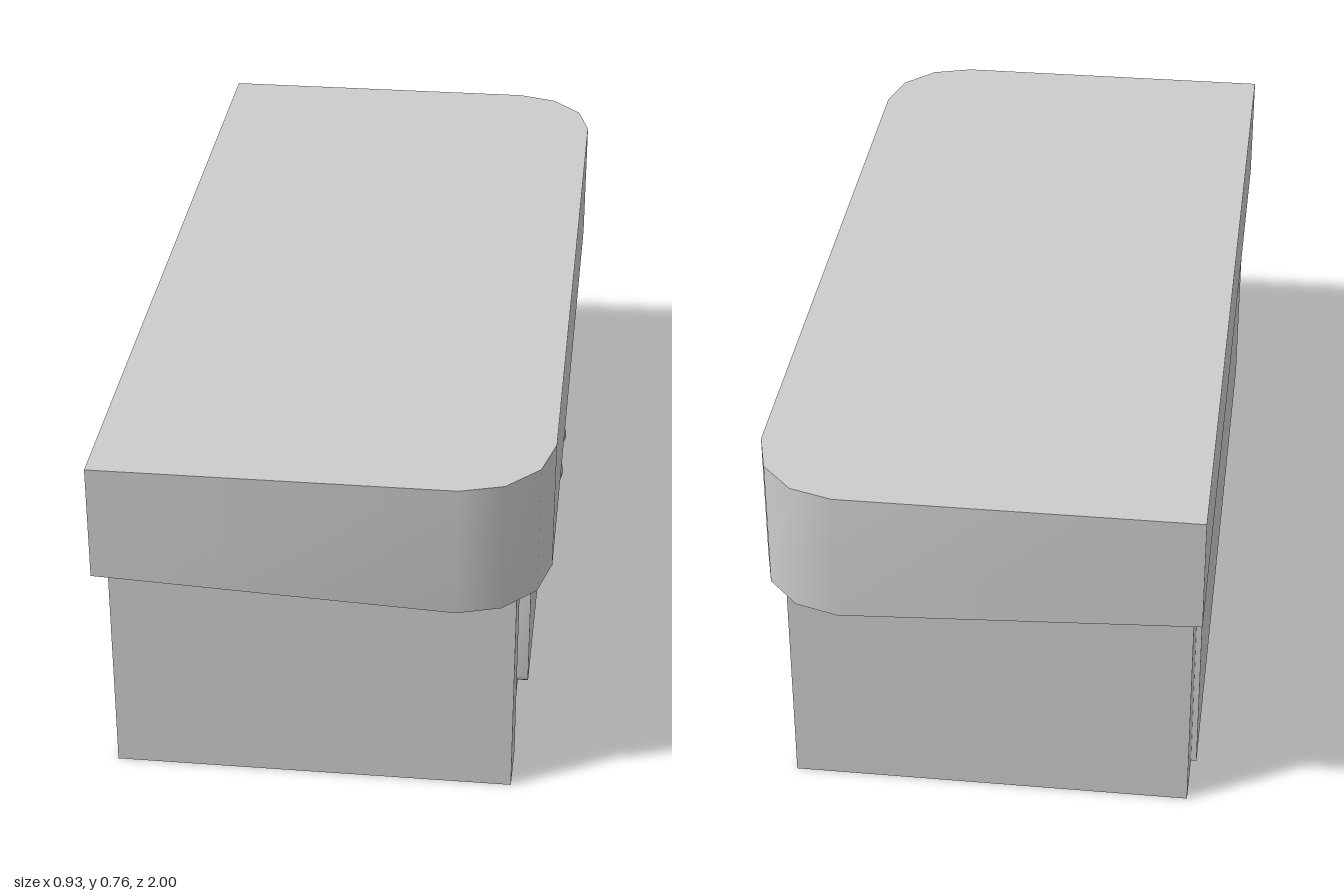
import * as THREE from 'three';
import { toCreasedNormals } from 'three/addons/utils/BufferGeometryUtils.js';

const material = new THREE.MeshStandardMaterial({ color: 0xcccccc });

function add(group, name, geometry, x = 0, y = 0, z = 0) {
  const mesh = new THREE.Mesh(geometry, material);
  mesh.name = name;
  mesh.position.set(x, y, z);
  group.add(mesh);
  return mesh;
}

// Block given by its limits on each axis
function block(group, name, [x0, x1], [y0, y1], [z0, z1]) {
  add(group, name, new THREE.BoxGeometry(x1 - x0, y1 - y0, z1 - z0),
    (x0 + x1) / 2, (y0 + y1) / 2, (z0 + z1) / 2);
}

// Thick top: a box in columns along x, with rounded front corners and a sloping underside
function topGeometry() {
  const columns = [ // x, half width, underside height
    [-0.463, 1, 0.508], [0.28, 1, 0.472], [0.37, 0.972, 0.472],
    [0.437, 0.9, 0.472], [0.463, 0.8, 0.472],
  ];
  const geometry = new THREE.BoxGeometry(4, 1, 2, 4, 1, 1);
  const p = geometry.attributes.position;
  for (let i = 0; i < p.count; i++) {
    const [x, width, low] = columns[Math.round(p.getX(i) + 2)];
    p.setXYZ(i, x, p.getY(i) > 0 ? 0.758 : low, p.getZ(i) * width);
  }
  return toCreasedNormals(geometry, 0.6);
}

// Door panel with small rounded corners, facing +x
function doorGeometry(w, h, r, depth) {
  const a = w / 2, b = h / 2;
  const s = new THREE.Shape();
  s.moveTo(-a + r, -b);
  s.lineTo(a - r, -b);
  s.quadraticCurveTo(a, -b, a, -b + r);
  s.lineTo(a, b - r);
  s.quadraticCurveTo(a, b, a - r, b);
  s.lineTo(-a + r, b);
  s.quadraticCurveTo(-a, b, -a, b - r);
  s.lineTo(-a, -b + r);
  s.quadraticCurveTo(-a, -b, -a + r, -b);
  const geometry = new THREE.ExtrudeGeometry(s, { depth, bevelEnabled: false, curveSegments: 3 });
  geometry.rotateY(Math.PI / 2);
  return toCreasedNormals(geometry, 0.6);
}

export function createModel() {
  const model = new THREE.Group();
  model.name = 'cabinet';

  add(model, 'top', topGeometry());

  // Body: a middle section set back a little between two end blocks
  block(model, 'middleBody', [-0.455, 0.389], [0.003, 0.53], [-0.81, 0.81]);
  block(model, 'leftEnd', [-0.443, 0.398], [0, 0.53], [-0.932, -0.81]);
  block(model, 'rightEnd', [-0.443, 0.398], [0, 0.53], [0.81, 0.932]);

  // Two doors, each with a round knob by the middle gap
  const knobs = { 1: [0.262, 0.067], [-1]: [0.271, -0.088] };
  for (const side of [1, -1]) {
    const door = new THREE.Group();
    door.name = side > 0 ? 'rightDoor' : 'leftDoor';
    add(door, 'doorPanel', doorGeometry(0.693, 0.3, 0.016, 0.034), 0.384, 0.264, side * 0.3725);
    const [y, z] = knobs[side];
    add(door, 'knob', new THREE.SphereGeometry(0.04, 20, 14), 0.418, y, z);
    model.add(door);
  }
  return model;
}
